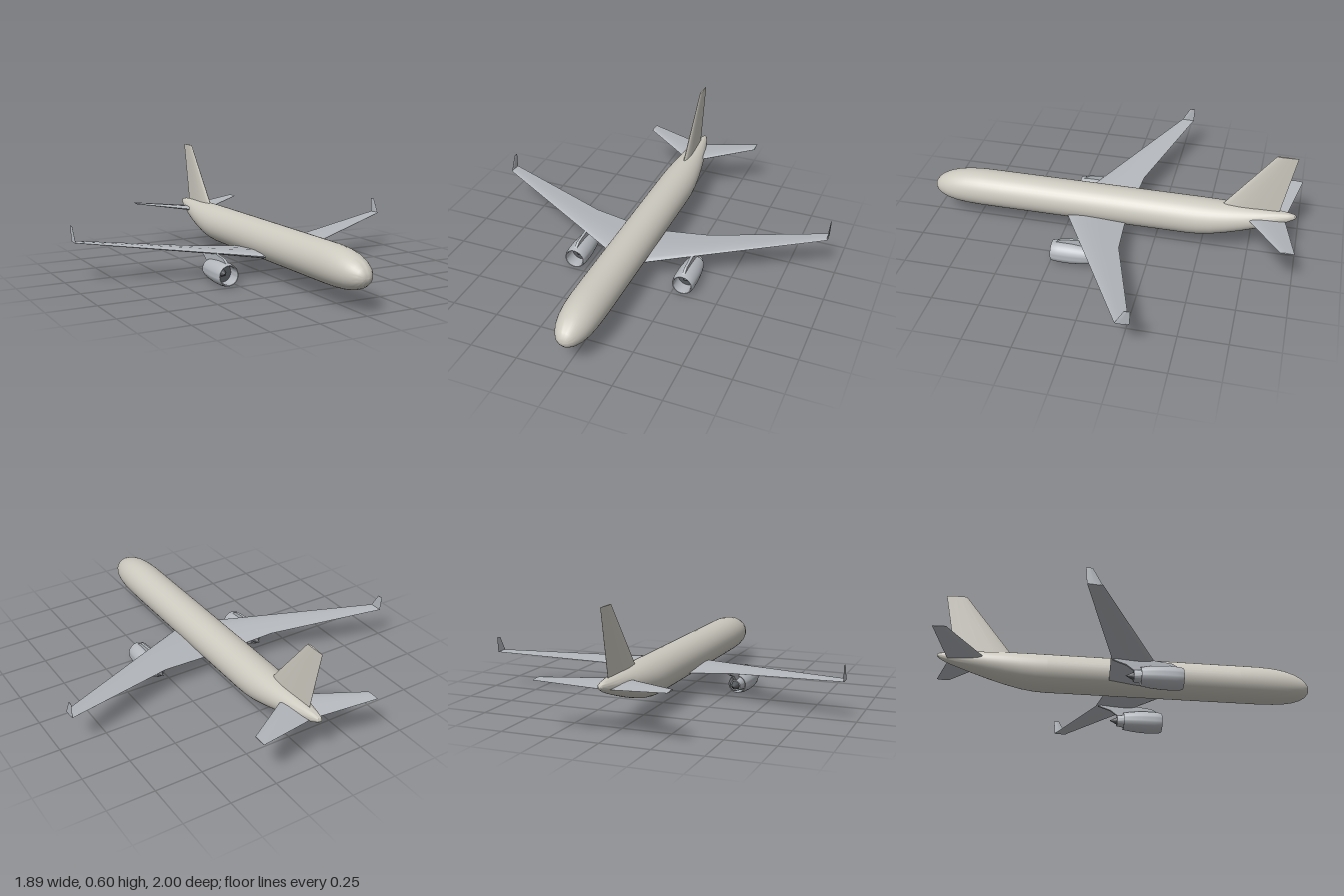
import * as THREE from 'three';
import { toCreasedNormals } from 'three/addons/utils/BufferGeometryUtils.js';

const warm = new THREE.MeshStandardMaterial({ color: 0xccc9bf, side: THREE.DoubleSide });
const cool = new THREE.MeshStandardMaterial({ color: 0xb4b8bd, side: THREE.DoubleSide });
const dark = new THREE.MeshStandardMaterial({ color: 0x55585c, side: THREE.DoubleSide });

// Skin a row of closed rings of [x, y, z] points, cap both ends and face outward.
function loft(rings, crease = 0.7) {
  const n = rings[0].length, last = (rings.length - 1) * n;
  const p = rings.flat(), idx = [];
  for (let i = 0; i < rings.length - 1; i++) {
    for (let j = 0; j < n; j++) {
      const a = i * n + j, b = i * n + (j + 1) % n;
      idx.push(a, b, b + n, a, b + n, a + n);
    }
  }
  for (let j = 1; j < n - 1; j++) {
    idx.push(0, j + 1, j, last, last + j, last + j + 1);
  }
  // A negative signed volume means the rings ran the other way round.
  let volume = 0;
  const v = idx.map((k) => new THREE.Vector3(...p[k]));
  for (let k = 0; k < v.length; k += 3) volume += v[k].dot(v[k + 1].clone().cross(v[k + 2]));
  if (volume < 0) idx.reverse();
  const geo = new THREE.BufferGeometry();
  geo.setAttribute('position', new THREE.Float32BufferAttribute(p.flat(), 3));
  geo.setIndex(idx);
  return toCreasedNormals(geo, crease);
}

// Half-thickness of an aerofoil along its chord, as [chord fraction, thickness fraction].
const foil = [[0, 0], [0.03, 0.42], [0.1, 0.74], [0.3, 1], [0.55, 0.78], [0.8, 0.38], [1, 0.04]];
const foilLoop = [...foil, ...foil.slice(1).reverse().map(([c, t]) => [c, -t])];

// Aerofoil surface from stations [x, y, leading z, trailing z, thickness, trailing rise].
// Upright surfaces are thick in x, the others in y.
function aerofoil(stations, upright = false) {
  return loft(stations.map(([x, y, z0, z1, thick, rise = 0]) => foilLoop.map(([c, t]) => {
    const h = t * thick / 2;
    return [x + (upright ? h : 0), y + rise * c + (upright ? 0 : h), z0 + (z1 - z0) * c];
  })));
}

function add(parent, name, geometry, material) {
  const mesh = new THREE.Mesh(geometry, material);
  mesh.name = name;
  parent.add(mesh);
  return mesh;
}

// Turned part along z, from [radius, z] points.
function turned(points) {
  const geo = new THREE.LatheGeometry(points.map(([r, z]) => new THREE.Vector2(r, z)), 40);
  return toCreasedNormals(geo.rotateX(Math.PI / 2), 0.6);
}

// Fuselage sections: [z, bottom, top, half width]
function fuselage() {
  const rows = [
    [0.995, 0.165, 0.178, 0.008], [0.99, 0.149, 0.196, 0.026], [0.975, 0.131, 0.217, 0.045],
    [0.95, 0.115, 0.236, 0.062], [0.91, 0.101, 0.255, 0.079], [0.86, 0.092, 0.27, 0.091],
    [0.8, 0.087, 0.28, 0.098], [0.72, 0.085, 0.285, 0.102], [0.6, 0.085, 0.285, 0.103],
    [-0.42, 0.085, 0.285, 0.103], [-0.48, 0.088, 0.285, 0.102], [-0.55, 0.098, 0.285, 0.098],
    [-0.64, 0.12, 0.284, 0.088], [-0.72, 0.143, 0.282, 0.075], [-0.8, 0.169, 0.28, 0.06],
    [-0.88, 0.196, 0.276, 0.041], [-0.94, 0.218, 0.272, 0.026], [-0.975, 0.237, 0.267, 0.014],
    [-0.986, 0.248, 0.26, 0.006],
  ];
  return loft(rows.map(([z, lo, hi, w]) => Array.from({ length: 40 }, (_, k) => {
    const a = k / 40 * Math.PI * 2;
    return [w * Math.cos(a), (lo + hi) / 2 + (hi - lo) / 2 * Math.sin(a), z];
  })), 1.2);
}

function engine(side) {
  const group = new THREE.Group();
  group.name = side > 0 ? 'leftEngine' : 'rightEngine';
  // Hollow cowl: outside skin, rounded lip, then the intake and duct
  add(group, 'nacelle', turned([
    [0.047, 0.03], [0.055, 0.08], [0.06, 0.14], [0.06, 0.2], [0.057, 0.232], [0.053, 0.243],
    [0.049, 0.242], [0.046, 0.232], [0.049, 0.18], [0.049, 0.1], [0.044, 0.03], [0.047, 0.03],
  ]), cool);
  add(group, 'fan', turned([[0.049, 0.165], [0.018, 0.165], [0.012, 0.185], [0, 0.2]]), dark);
  add(group, 'core', turned([[0.024, -0.005], [0.029, -0.005], [0.034, 0.03], [0.04, 0.09], [0.049, 0.1]]), cool);
  add(group, 'exhaustCone', turned([[0, -0.045], [0.02, -0.005], [0.024, 0.02]]), dark);
  group.position.set(side * 0.308, 0.061, 0);

  // Pylon slab, drawn in the side plane
  const outline = [[0.235, 0.05], [0.19, 0.077], [0.1, 0.088], [-0.08, 0.09],
    [-0.11, 0.082], [-0.04, 0.058], [0.0, 0.028], [0.1, 0.03]];
  const shape = new THREE.Shape(outline.map(([z, y]) => new THREE.Vector2(-z, y)));
  const slab = new THREE.ExtrudeGeometry(shape, { depth: 0.014, bevelEnabled: false });
  slab.translate(0, 0, -0.007).rotateY(Math.PI / 2);
  add(group, 'pylon', slab, cool);
  return group;
}

export function createModel() {
  const model = new THREE.Group();
  model.name = 'airliner';
  add(model, 'fuselage', fuselage(), warm);
  add(model, 'tailFin', aerofoil([
    [0, 0.24, -0.575, -0.893, 0.034], [0, 0.285, -0.607, -0.9, 0.03], [0, 0.605, -0.855, -0.963, 0.009],
  ], true), warm);

  for (const side of [1, -1]) {
    const label = side > 0 ? 'left' : 'right';
    add(model, label + 'Wing', aerofoil([
      [0, 0.122, 0.263, -0.1, 0.038], [side * 0.1, 0.132, 0.21, -0.1, 0.036],
      [side * 0.333, 0.153, 0.087, -0.12, 0.022], [side * 0.943, 0.206, -0.235, -0.305, 0.007],
    ]), cool);
    add(model, label + 'Winglet', aerofoil([
      [side * 0.941, 0.204, -0.235, -0.305, 0.006], [side * 0.943, 0.285, -0.28, -0.31, 0.004],
    ], true), cool);
    add(model, label + 'Tailplane', aerofoil([
      [0, 0.228, -0.705, -0.925, 0.026], [side * 0.06, 0.234, -0.747, -0.941, 0.023],
      [side * 0.328, 0.26, -0.93, -1, 0.007],
    ]), cool);
    model.add(engine(side));
  }
  return model;
}
